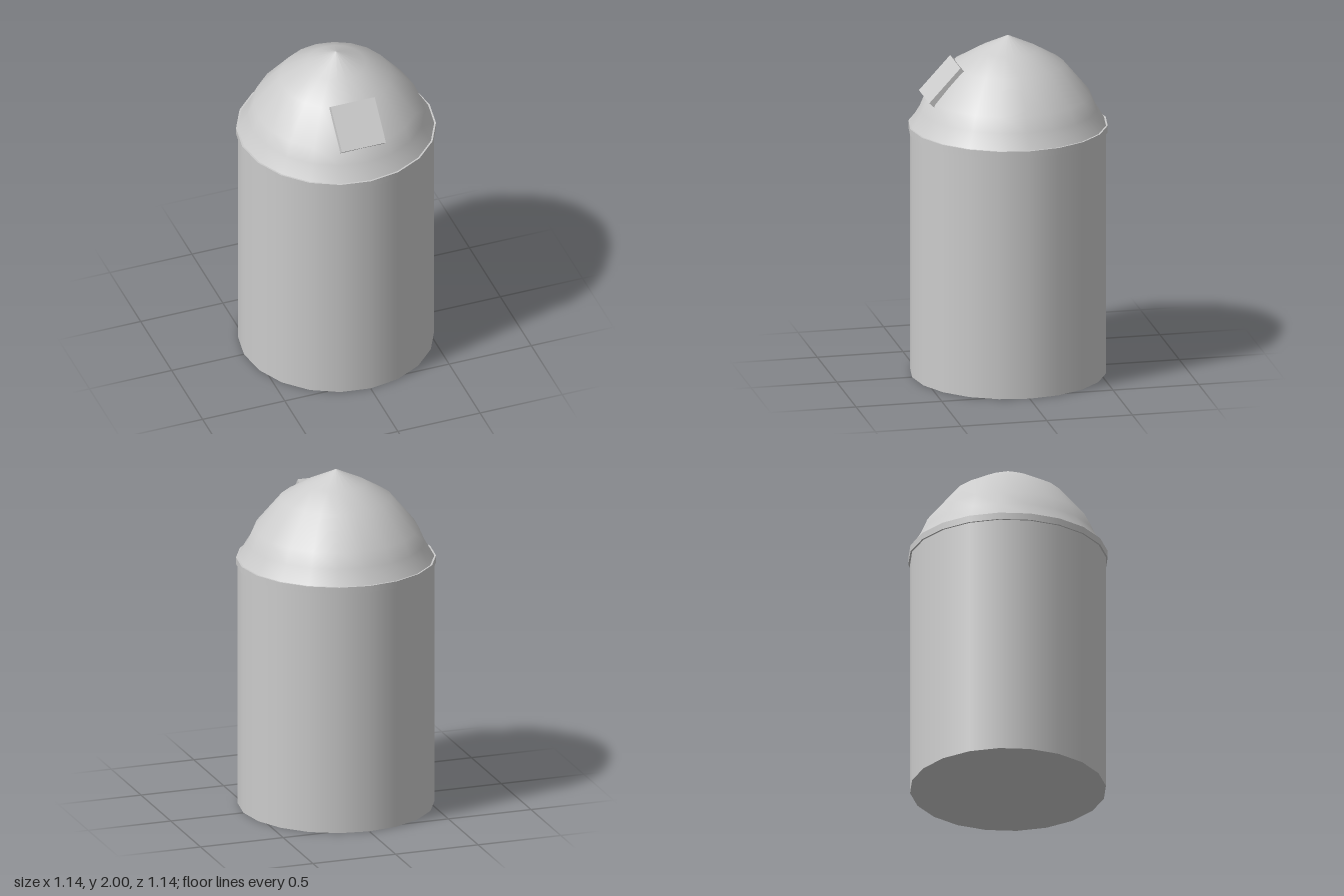
import * as THREE from 'three';

const SIDES = 20;

export function createModel() {
  const group = new THREE.Group();
  const material = new THREE.MeshStandardMaterial({ color: 0xcccccc });

  const add = (name, geometry, x, y, z) => {
    const mesh = new THREE.Mesh(geometry, material);
    mesh.name = name;
    mesh.position.set(x, y, z);
    group.add(mesh);
    return mesh;
  };

  // Closed cylindrical body
  add('body', new THREE.CylinderGeometry(0.56, 0.56, 1.45, SIDES), 0, 0.725, 0);

  // Thin projecting rim between body and dome
  add('rim', new THREE.CylinderGeometry(0.57, 0.57, 0.04, SIDES), 0, 1.455, 0);

  // Dome, slightly flared at the base and pointed at the top
  const profile = [[0.56, 1.475], [0.506, 1.565], [0.47, 1.65], [0.32, 1.83], [0.17, 1.918], [0, 2]]
    .map(([r, y]) => new THREE.Vector2(r, y));
  add('dome', new THREE.LatheGeometry(profile, SIDES), 0, 0, 0);

  // Square hatch lying on the front slope of the dome, sunk into its surface
  const thickness = 0.05;
  const tilt = 0.747;
  const hatch = add('hatch', new THREE.BoxGeometry(0.267, 0.268, thickness), -0.013,
    1.758 - Math.sin(tilt) * thickness / 2, 0.396 - Math.cos(tilt) * thickness / 2);
  hatch.rotation.x = -tilt;

  return group;
}
